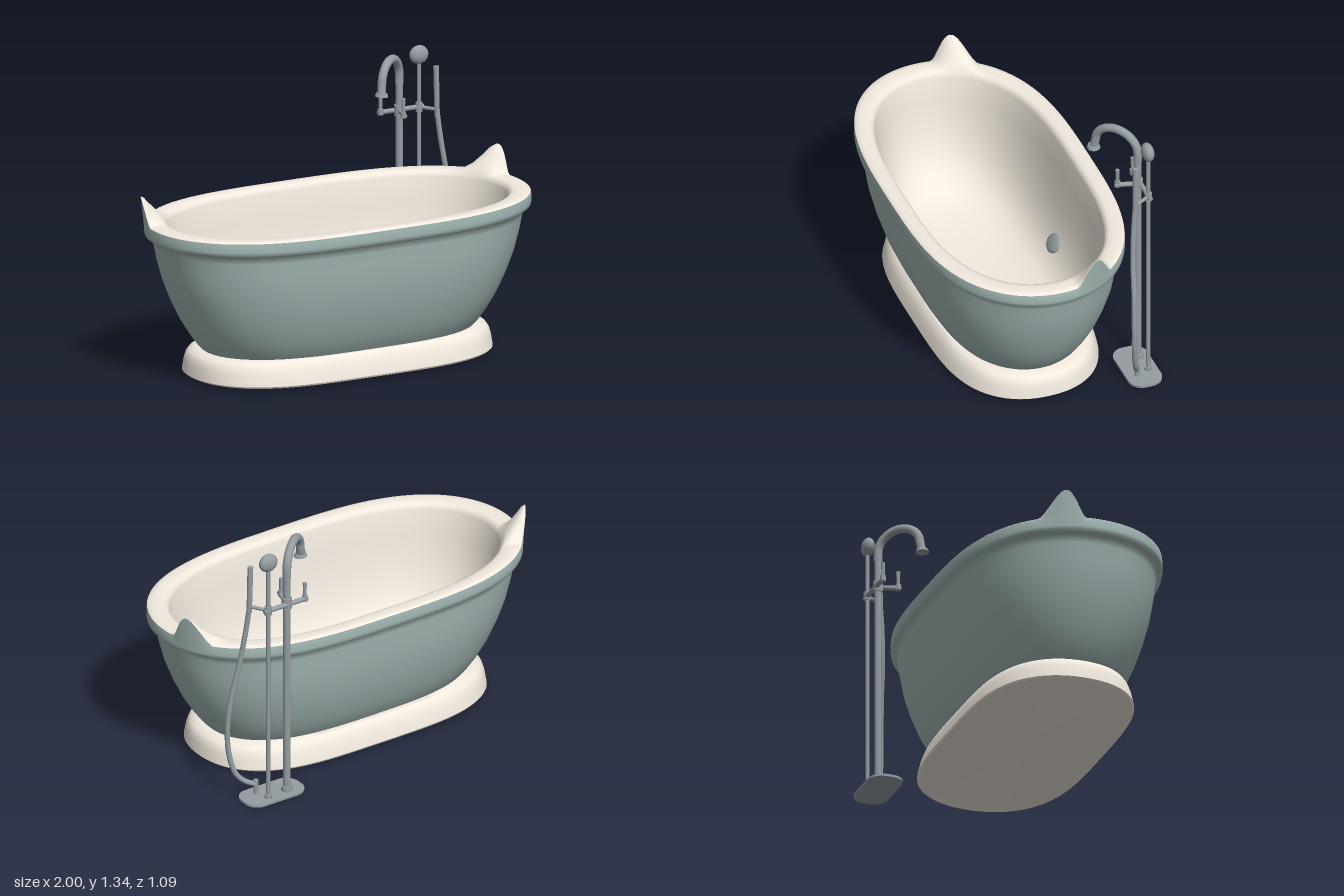
import * as THREE from 'three';
import { toCreasedNormals } from 'three/addons/utils/BufferGeometryUtils.js';

const mat = (color) => new THREE.MeshStandardMaterial({ color });
const teal = mat(0xa3b8b5);
const cream = mat(0xf2eadf);
const metal = mat(0x949da2);
const SEG = 192;
const V = (x, y, z) => new THREE.Vector3(x, y, z);

function add(group, name, geometry, material) {
  const m = new THREE.Mesh(geometry, material);
  m.name = name;
  group.add(m);
  return m;
}

// Pointed ear on the rim near both ends of the tub
function earBump(x, z) {
  const d = Math.abs(z + 0.147);
  if (Math.abs(x) < 0.7 || d > 0.1) return 0;
  return Math.max(0, Math.cos((Math.PI * d) / 0.2)) ** 1.4;
}

// Loft of rounded-oblong rings; row = [half length, half width, height, ear weight].
// ex and ez set how square the ends and sides of the oblong are.
function loft(rows, cz, crease, ex, ez) {
  const pos = [], idx = [];
  rows.forEach(([rx, rz, y, ear = 0], r) => {
    for (let i = 0; i < SEG; i++) {
      const t = (i / SEG) * Math.PI * 2, c = Math.cos(t), s = Math.sin(t);
      const x = rx * Math.sign(c) * Math.abs(c) ** (2 / ex);
      const z = cz + rz * Math.sign(s) * Math.abs(s) ** (2 / ez);
      const e = ear * earBump(x, z);
      pos.push(x + Math.sign(x) * 0.025 * e, y + 0.135 * e, z);
      if (r === 0) continue;
      const j = (i + 1) % SEG, a = (r - 1) * SEG, b = r * SEG;
      idx.push(a + i, b + i, b + j, a + i, b + j, a + j);
    }
  });
  const g = new THREE.BufferGeometry();
  g.setAttribute('position', new THREE.Float32BufferAttribute(pos, 3));
  g.setIndex(idx);
  return toCreasedNormals(g, crease);
}

// Round bar between two points
function bar(group, name, a, b, r0, r1 = r0) {
  const m = add(group, name, new THREE.CylinderGeometry(r1, r0, a.distanceTo(b), 20), metal);
  m.position.copy(a).add(b).multiplyScalar(0.5);
  m.quaternion.setFromUnitVectors(V(0, 1, 0), b.clone().sub(a).normalize());
}

function tube(group, name, points, radius) {
  add(group, name, new THREE.TubeGeometry(new THREE.CatmullRomCurve3(points), 64, radius, 14), metal);
}

function makeTub() {
  const tub = new THREE.Group();
  tub.name = 'tub';

  // Flared plinth
  add(tub, 'plinth', loft([
    [0.001, 0.001, 0.015], [0.785, 0.39, 0.013], [0.797, 0.395, 0.022], [0.79, 0.382, 0.075],
    [0.782, 0.37, 0.105], [0.768, 0.358, 0.124], [0.735, 0.345, 0.136], [0.6, 0.25, 0.136], [0.001, 0.001, 0.136],
  ], 0.025, 0.7, 3.7, 2.15), cream);

  // Outer shell with rolled rim band and outer ear faces
  add(tub, 'outerShell', loft([
    [0.705, 0.32, 0.125], [0.738, 0.345, 0.16], [0.775, 0.373, 0.21], [0.825, 0.408, 0.29], [0.873, 0.44, 0.39],
    [0.912, 0.464, 0.49], [0.94, 0.478, 0.59], [0.955, 0.484, 0.66], [0.965, 0.489, 0.692], [0.985, 0.503, 0.7],
    [0.998, 0.513, 0.71], [1, 0.515, 0.725], [1, 0.515, 0.75, 0.2], [0.997, 0.513, 0.769, 1],
  ], 0.03, 1.3, 3.2, 2.05), teal);

  // Rim top, inner ear faces and basin
  add(tub, 'basin', loft([
    [0.997, 0.513, 0.769, 1], [0.985, 0.505, 0.776, 0.9], [0.965, 0.49, 0.777, 0.68], [0.94, 0.47, 0.777, 0.42],
    [0.912, 0.445, 0.775, 0.17], [0.895, 0.43, 0.766], [0.888, 0.424, 0.745], [0.873, 0.41, 0.62],
    [0.848, 0.39, 0.47], [0.81, 0.365, 0.36], [0.76, 0.333, 0.28], [0.68, 0.288, 0.215],
    [0.56, 0.23, 0.18], [0.36, 0.14, 0.16], [0.001, 0.001, 0.15],
  ], 0.03, 1, 3.2, 2.05), cream);

  // Drain and overflow
  add(tub, 'drain', new THREE.CylinderGeometry(0.027, 0.027, 0.012, 24), cream).position.set(-0.008, 0.155, 0.03);
  const overflow = add(tub, 'overflowCover', new THREE.SphereGeometry(1, 24, 12), metal);
  overflow.scale.set(0.058, 0.048, 0.016);
  overflow.position.set(-0.01, 0.293, -0.302);
  overflow.rotation.x = -0.62;
  return tub;
}

function makeFaucet() {
  const f = new THREE.Group();
  f.name = 'faucet';

  // Rounded floor plate
  const x0 = 0.54, x1 = 0.87, z0 = -0.545, z1 = -0.375, r = 0.07;
  const s = new THREE.Shape();
  s.absarc(x1 - r, -z0 - r, r, 0, Math.PI / 2);
  s.absarc(x0 + r, -z0 - r, r, Math.PI / 2, Math.PI);
  s.absarc(x0 + r, -z1 + r, r, Math.PI, Math.PI * 1.5);
  s.absarc(x1 - r, -z1 + r, r, Math.PI * 1.5, Math.PI * 2);
  const plate = new THREE.ExtrudeGeometry(s, { depth: 0.012, bevelEnabled: false, curveSegments: 10 });
  add(f, 'floorPlate', plate.rotateX(-Math.PI / 2), metal);

  // Supply pole and gooseneck spout
  const px = 0.635, pz = -0.487;
  bar(f, 'poleFoot', V(px, 0.01, pz), V(px, 0.035, pz), 0.027);
  bar(f, 'supplyPole', V(px, 0.01, pz), V(px, 1.2, pz), 0.018);
  const arc = [V(px, 1.17, pz)];
  for (let i = 0; i <= 10; i++) {
    const a = (i / 10) * Math.PI, k = (1 - Math.cos(a)) / 2;
    arc.push(V(px - 0.18 * k, 1.215 + 0.1 * Math.sin(a), pz + 0.147 * k));
  }
  arc.push(V(0.449, 1.175, -0.333));
  tube(f, 'spout', arc, 0.021);
  bar(f, 'spoutLip', V(0.449, 1.165, -0.332), V(0.45, 1.18, -0.332), 0.033, 0.028);

  // Mixer valve with two lever handles
  const y = 1.035;
  bar(f, 'valveBody', V(px, y - 0.025, pz), V(px, y + 0.03, pz), 0.025);
  bar(f, 'crossBar', V(0.525, y, -0.5), V(0.775, y, -0.5), 0.012);
  bar(f, 'valveArm', V(px, y, pz), V(0.605, y, -0.38), 0.012);
  [[0.538, -0.498], [0.605, -0.395]].forEach(([x, z]) => {
    bar(f, 'handleHub', V(x, y - 0.012, z), V(x, y + 0.018, z), 0.014);
    bar(f, 'leverHandle', V(x, y, z), V(x, 1.12, z), 0.008, 0.01);
  });

  // Shower riser and head
  bar(f, 'riserFoot', V(0.75, 0.01, -0.497), V(0.75, 0.03, -0.497), 0.018);
  bar(f, 'showerRiser', V(0.75, 0.01, -0.497), V(0.75, 1.27, -0.497), 0.01);
  bar(f, 'riserClamp', V(0.75, y - 0.022, -0.497), V(0.75, y + 0.022, -0.497), 0.018);
  const head = add(f, 'showerHead', new THREE.SphereGeometry(1, 24, 16), metal);
  head.scale.set(0.05, 0.046, 0.03);
  head.position.set(0.748, 1.295, -0.495);

  // Hand wand, its holder and the hanging hose
  bar(f, 'wandHolder', V(0.75, y, -0.497), V(0.8, y, -0.413), 0.009);
  bar(f, 'wand', V(0.801, 1.0, -0.411), V(0.797, 1.25, -0.415), 0.013, 0.014);
  tube(f, 'hose', [
    V(0.801, 1.02, -0.411), V(0.812, 0.9, -0.399), V(0.838, 0.73, -0.386), V(0.88, 0.55, -0.376),
    V(0.899, 0.38, -0.37), V(0.893, 0.24, -0.373), V(0.865, 0.13, -0.39), V(0.825, 0.085, -0.41), V(0.78, 0.065, -0.43),
  ], 0.013);
  bar(f, 'hoseOutlet', V(0.775, 0.01, -0.43), V(0.775, 0.085, -0.43), 0.012);
  return f;
}

export function createModel() {
  const model = new THREE.Group();
  model.name = 'bathtub';
  model.add(makeTub(), makeFaucet());
  return model;
}
